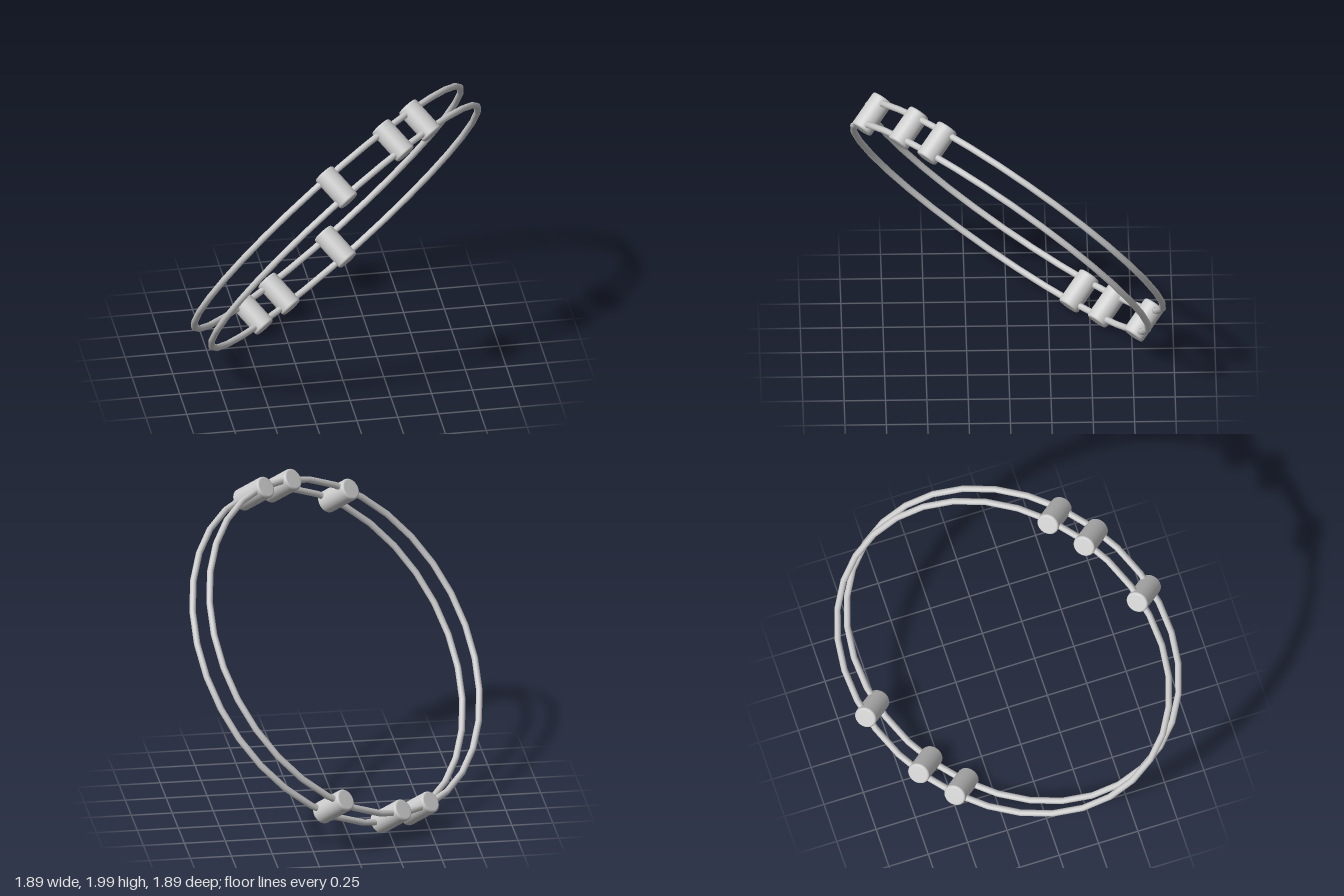
import * as THREE from 'three';

const RING_RADIUS = 1.082, WIRE = 0.02, RING_OFFSET = 0.078;
const BEAD_CENTRE = 1.073, BEAD_RADIUS = 0.069, BEAD_LENGTH = 0.235, ROUND = 0.014;

export function createModel() {
  const model = new THREE.Group();
  model.name = 'twinRingBangle';
  const material = new THREE.MeshStandardMaterial({ color: 0xcccccc });

  // Built flat around z, then tilted as one piece
  const bangle = new THREE.Group();
  bangle.name = 'bangle';
  const add = (geometry, name) => {
    const mesh = new THREE.Mesh(geometry, material);
    mesh.name = name;
    bangle.add(mesh);
    return mesh;
  };

  // Two parallel wire rings
  const ringGeometry = new THREE.TorusGeometry(RING_RADIUS, WIRE, 10, 32);
  for (const side of [-1, 1]) {
    add(ringGeometry, side < 0 ? 'upperRing' : 'lowerRing').position.z = side * RING_OFFSET;
  }

  // Cylindrical beads bridging the rings, with smooth rounded rims
  const h = BEAD_LENGTH / 2;
  const profile = [new THREE.Vector2(0, -h)];
  for (const end of [-1, 1]) {
    for (let i = 0; i <= 4; i++) {
      const a = (end < 0 ? i - 4 : i) * Math.PI / 8;
      profile.push(new THREE.Vector2(
        BEAD_RADIUS - ROUND + Math.cos(a) * ROUND,
        end * (h - ROUND) + Math.sin(a) * ROUND,
      ));
    }
  }
  profile.push(new THREE.Vector2(0, h));
  const beadGeometry = new THREE.LatheGeometry(profile, 32).rotateX(Math.PI / 2);

  // Three beads, repeated on the opposite side
  for (const turn of [0, 180]) {
    [0, 13.7, 39].forEach((degrees, i) => {
      const angle = THREE.MathUtils.degToRad(degrees + turn);
      const bead = add(beadGeometry, `${turn ? 'bottom' : 'top'}Bead${i + 1}`);
      bead.position.set(Math.cos(angle) * BEAD_CENTRE, Math.sin(angle) * BEAD_CENTRE, 0);
    });
  }

  // Tilt so the ring axis lies along a cube diagonal
  const tilt = new THREE.Matrix4().makeBasis(
    new THREE.Vector3(1, 2, 1).normalize(),
    new THREE.Vector3(-1, 0, 1).normalize(),
    new THREE.Vector3(1, -1, 1).normalize(),
  );
  bangle.quaternion.setFromRotationMatrix(tilt);
  bangle.position.y = 1;
  model.add(bangle);
  return model;
}
